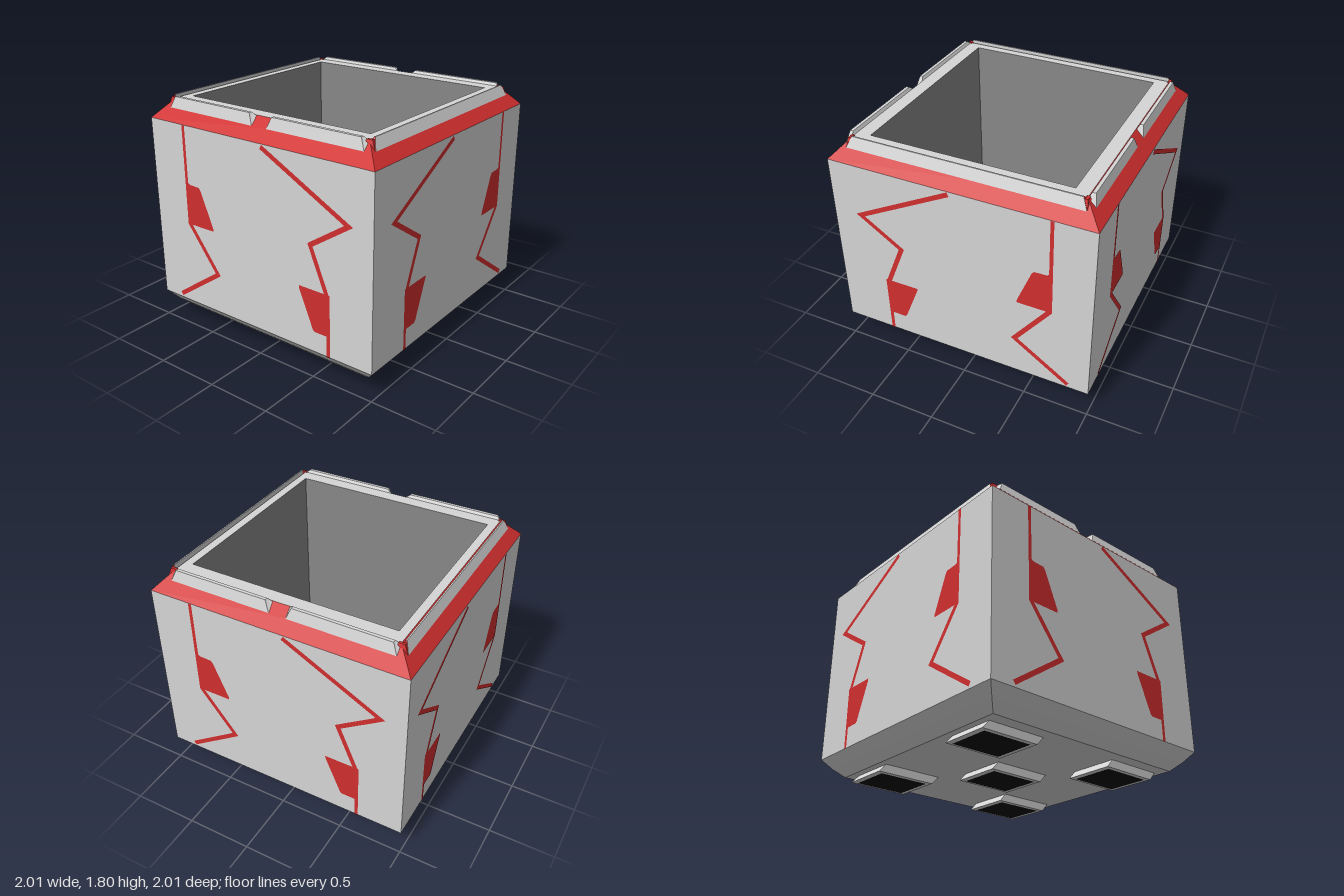
import * as THREE from 'three';

const lightGrey = new THREE.MeshStandardMaterial({ name: 'lightGrey', color: 0xd5d5d5 });
const red = new THREE.MeshStandardMaterial({ name: 'red', color: 0xd02e2e });
const darkGrey = new THREE.MeshStandardMaterial({ name: 'darkGrey', color: 0x878787 });
const black = new THREE.MeshStandardMaterial({ name: 'black', color: 0x0a0a0a });

function add(parent, name, geometry, material) {
  const mesh = new THREE.Mesh(geometry, material);
  mesh.name = name;
  parent.add(mesh);
  return mesh;
}

// Four-sided open band between two square rings
function band(topHalf, bottomHalf, y0, y1) {
  const g = new THREE.CylinderGeometry(topHalf * Math.SQRT2, bottomHalf * Math.SQRT2, y1 - y0, 4, 1, true)
    .rotateY(Math.PI / 4).translate(0, (y0 + y1) / 2, 0).toNonIndexed();
  g.computeVertexNormals();
  return g;
}

// Box whose eight corners are placed by a rule of (x, y, z) signs
function cornerBox(rule) {
  const g = new THREE.BoxGeometry(2, 2, 2);
  const p = g.attributes.position;
  for (let i = 0; i < p.count; i++) p.setXYZ(i, ...rule(p.getX(i), p.getY(i), p.getZ(i)));
  g.computeVertexNormals();
  return g;
}

const polygon = pts => new THREE.Shape(pts.map(([x, y]) => new THREE.Vector2(x, y)));

// Mitred ribbon of constant width along a polyline
function ribbon(pts, width) {
  const v = pts.map(([x, y]) => new THREE.Vector2(x, y));
  const normal = i => {
    const d = v[i + 1].clone().sub(v[i]).normalize();
    return new THREE.Vector2(-d.y, d.x);
  };
  const left = [], right = [];
  v.forEach((p, i) => {
    const a = normal(Math.max(i - 1, 0)), b = normal(Math.min(i, v.length - 2));
    const m = a.clone().add(b).normalize();
    m.multiplyScalar(width / 2 / Math.max(m.dot(a), 0.4));
    left.push(p.clone().add(m));
    right.push(p.clone().sub(m));
  });
  return new THREE.Shape([...left, ...right.reverse()]);
}

// Angular painted traces for one wall, in wall coordinates
function traces() {
  return new THREE.ShapeGeometry([
    ribbon([[-0.05, 1.617], [-0.778, 1.23], [-0.462, 1.02], [-0.6, 0.68]], 0.036),
    polygon([[-0.625, 0.69], [-0.358, 0.69], [-0.36, 0.67], [-0.475, 0.385], [-0.49, 0.37],
      [-0.595, 0.37], [-0.595, 0.21], [-0.622, 0.21]]),
    polygon([[0.68, 1.635], [0.68, 1.2], [0.665, 1.19], [0.57, 1.185], [0.555, 1.165], [0.445, 0.89],
      [0.447, 0.872], [0.708, 0.872], [0.706, 1.635]]),
    ribbon([[0.693, 0.88], [0.425, 0.527], [0.843, 0.24]], 0.036),
  ]);
}

// Raised block standing on the sloped rim, facing +z
function rail(cx, half, topInset, profile) {
  return cornerBox((x, y, z) => {
    const [d, h] = profile[(y > 0 ? 2 : 0) + (z > 0 ? 0 : 1)];
    return [cx + x * (half - (y > 0 ? topInset : 0)), h, d];
  });
}

export function createModel() {
  const model = new THREE.Group();
  model.name = 'openCrate';

  // Shell: walls, rounded base chamfer and sloped red rim
  add(model, 'walls', band(1, 1, 0.21, 1.637), lightGrey);
  add(model, 'upperChamfer', band(1, 0.932, 0.13, 0.21), lightGrey);
  add(model, 'lowerChamfer', band(0.932, 0.86, 0.065, 0.13), lightGrey);
  add(model, 'underside', new THREE.PlaneGeometry(1.72, 1.72).rotateX(Math.PI / 2).translate(0, 0.065, 0), lightGrey);
  add(model, 'slopedRim', band(0.865, 1, 1.637, 1.78), red);

  // Flat lip around the opening
  const lip = polygon([[-0.865, -0.865], [0.865, -0.865], [0.865, 0.865], [-0.865, 0.865]]);
  lip.holes.push(polygon([[-0.76, -0.8], [-0.76, 0.8], [0.76, 0.8], [0.76, -0.8]]));
  add(model, 'lip', new THREE.ShapeGeometry(lip).rotateX(-Math.PI / 2).translate(0, 1.78, 0), lightGrey);

  // Hollow interior: four inward walls and a floor
  const floorY = 0.21, depth = 1.78 - floorY;
  add(model, 'interiorFloor', new THREE.PlaneGeometry(1.52, 1.6).rotateX(-Math.PI / 2).translate(0, floorY, 0), darkGrey);
  for (let i = 0; i < 4; i++) {
    const [width, offset] = i % 2 ? [1.6, 0.76] : [1.52, 0.8];
    add(model, 'interiorWall', new THREE.PlaneGeometry(width, depth)
      .translate(0, floorY + depth / 2, -offset).rotateY(i * Math.PI / 2), darkGrey);
  }

  // Rail profiles: base outer, base inner, top outer, top inner
  const thinProfile = [[0.925, 1.718], [0.885, 1.758], [0.894, 1.798], [0.884, 1.798]];
  const thickProfile = [[0.925, 1.718], [0.868, 1.775], [0.905, 1.8], [0.88, 1.8]];
  const capProfile = [[0.922, 1.718], [0.85, 1.775], [0.896, 1.785], [0.85, 1.785]];

  // Front and side panels, repeated on the back by a half turn
  for (const [turn, front, side, shift] of [[0, 'front', 'left', 0], [Math.PI, 'back', 'right', -0.04]]) {
    const half = new THREE.Group();
    half.name = front + 'And' + side + 'Panels';
    half.rotation.y = turn;
    model.add(half);

    add(half, front + 'Traces', traces().translate(shift, 0, 1.003), red);
    add(half, front + 'Rail', rail(0, 0.885, 0.037, thinProfile),
      [red, red, lightGrey, lightGrey, lightGrey, lightGrey]);
    for (const s of [-1, 1]) {
      add(half, front + 'RailCap', rail(s * 0.868, 0.02, 0.01, capProfile), red);
    }

    // The side wall carries the mirrored traces
    const sideTraces = traces();
    const p = sideTraces.attributes.position;
    for (let i = 0; i < p.count; i++) p.setX(i, 0.03 - p.getX(i));
    const index = sideTraces.index;
    for (let i = 0; i < index.count; i += 3) {
      const a = index.getX(i);
      index.setX(i, index.getX(i + 1));
      index.setX(i + 1, a);
    }
    add(half, side + 'Traces', sideTraces.translate(0, 0, 1.003).rotateY(Math.PI / 2), red);
    for (const s of [-1, 1]) {
      add(half, side + 'Rail', rail(s * 0.465, 0.4, 0.035, thickProfile).rotateY(Math.PI / 2), lightGrey);
    }
  }

  // Five slanted feet with dark pads
  for (const [x, z] of [[-1, -1], [1, -1], [0, 0], [-1, 1], [1, 1]]) {
    const foot = new THREE.Group();
    foot.name = 'foot';
    foot.position.set(x * 0.573, 0, z * 0.573);
    model.add(foot);
    add(foot, 'footBlock', cornerBox((sx, sy, sz) =>
      [sx * 0.187, sy > 0 ? 0.067 : 0.003, sz * 0.234 + (sy > 0 ? 0.003 : -0.054)]), lightGrey);
    add(foot, 'footPad', new THREE.PlaneGeometry(0.32, 0.39).rotateX(Math.PI / 2).translate(0, 0, -0.054), black);
  }

  return model;
}
